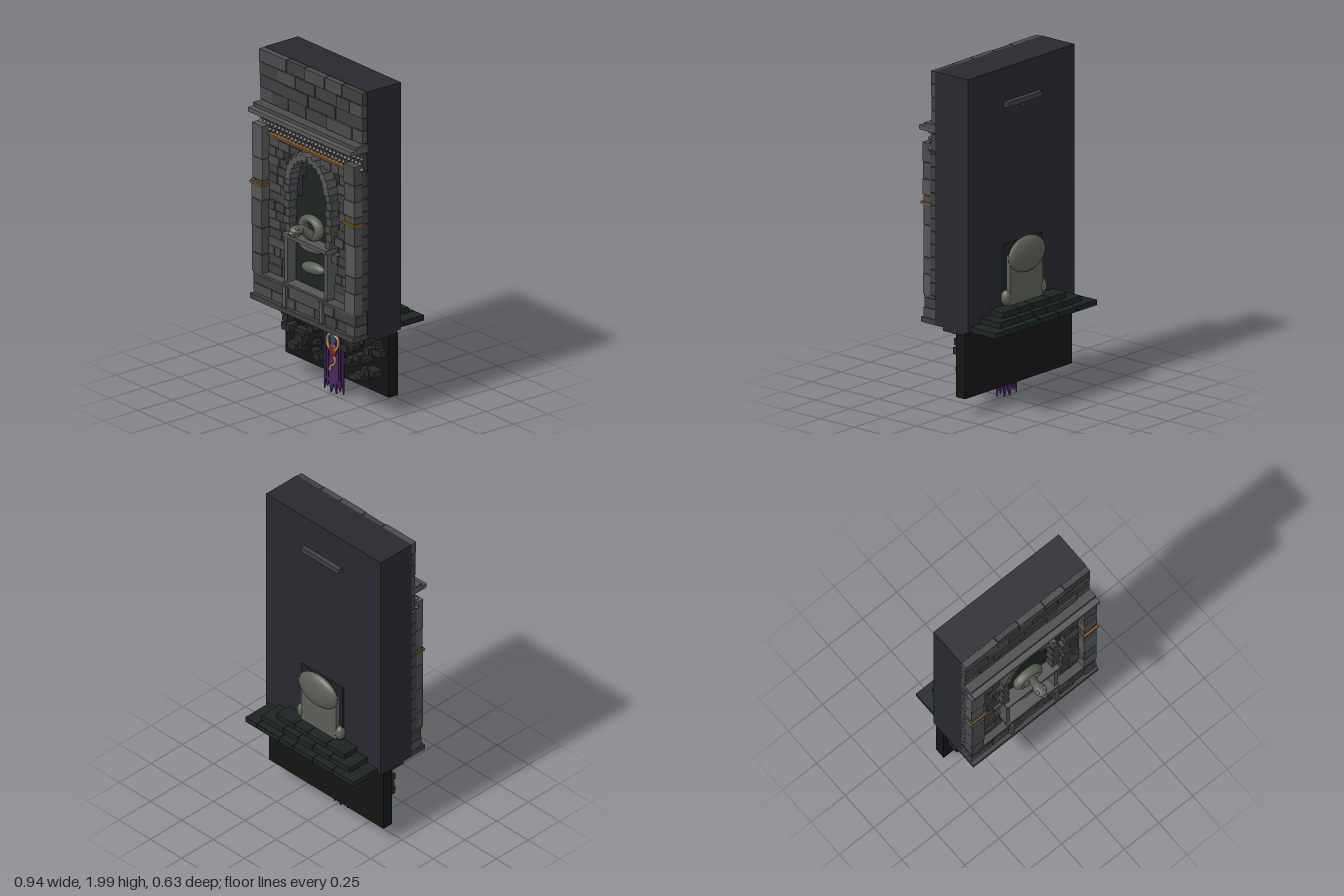
import * as THREE from 'three';

const mat = (c, o = {}) => new THREE.MeshStandardMaterial({ color: c, ...o });
const M = {
  body: mat(0x29282f), stone: mat(0x4a4a4a), stoneDark: mat(0x3e3f40), trim: mat(0x555555),
  lower: mat(0x131513), lowerStone: mat(0x272928), roof: mat(0x1c2421), niche: mat(0x1d2422),
  serpent: mat(0x5c5d55), gold: mat(0x76552a), purple: mat(0x4a2760, { side: THREE.DoubleSide }),
  fold: mat(0x35194a), blue: mat(0x2c4770), red: mat(0x7a2626), yellow: mat(0xb08a48), eye: mat(0x5fae3a),
};

let seed = 7;
const rnd = () => (seed = (seed * 16807) % 2147483647) / 2147483647;
const range = (a, b) => a + (b - a) * rnd();

export function createModel() {
  const root = new THREE.Group();
  const group = (name) => {
    const g = new THREE.Group();
    g.name = name;
    root.add(g);
    return g;
  };
  const add = (parent, name, geo, m) => {
    const mesh = new THREE.Mesh(geo, m);
    mesh.name = name;
    parent.add(mesh);
    return mesh;
  };
  // box given by its limits
  const box = (parent, name, x0, x1, y0, y1, z0, z1, m) => {
    const b = add(parent, name, new THREE.BoxGeometry(x1 - x0, y1 - y0, z1 - z0), m);
    b.position.set((x0 + x1) / 2, (y0 + y1) / 2, (z0 + z1) / 2);
    return b;
  };
  const ball = (parent, name, rx, ry, rz, x, y, z, m) => {
    const b = add(parent, name, new THREE.SphereGeometry(1, 20, 14), m);
    b.scale.set(rx, ry, rz);
    b.position.set(x, y, z);
    return b;
  };
  const tube = (parent, name, pts, r, m) =>
    add(parent, name, new THREE.TubeGeometry(
      new THREE.CatmullRomCurve3(pts.map((p) => new THREE.Vector3(...p))), 28, r, 8), m);
  // one course of bricks of uneven length and depth
  const course = (parent, x0, x1, y0, y1, z0, z1, wMin, wMax) => {
    let x = x0;
    while (x < x1 - 0.01) {
      let e = x + range(wMin, wMax);
      if (x1 - e < wMin * 0.6) e = x1;
      box(parent, 'brick', x + 0.002, e - 0.002, y0 + 0.002, y1 - 0.002, z0, z1 - range(0, 0.012),
        rnd() < 0.5 ? M.stone : M.stoneDark);
      x = e;
    }
  };

  // main wall block and the lower wall
  box(root, 'wallBlock', -0.457, 0.457, 0.51, 2, -0.127, 0.117, M.body);
  box(root, 'lowerWall', -0.457, 0.457, 0.12, 0.495, -0.105, -0.038, M.lower);
  const corbels = group('corbels');
  for (let i = 0; i < 8; i++) {
    const x = -0.45 + i * 0.115;
    box(corbels, 'corbel', x, x + 0.1, 0.488, 0.512, -0.1, 0.06, M.lowerStone);
  }

  // upper masonry
  const upper = group('upperMasonry');
  for (let i = 0; i < 4; i++)
    course(upper, -0.456, 0.456, 1.69 + i * 0.0775, 1.69 + (i + 1) * 0.0775, 0.11, 0.157, 0.11, 0.25);

  // cornice with gold strips and a studded frieze
  const cornice = group('cornice');
  box(cornice, 'corniceTop', -0.457, 0.457, 1.655, 1.685, 0.11, 0.2, M.stone);
  box(cornice, 'corniceLip', -0.457, 0.457, 1.638, 1.664, 0.11, 0.236, M.trim);
  box(cornice, 'goldStrip', -0.44, 0.44, 1.622, 1.632, 0.11, 0.18, M.gold);
  box(cornice, 'friezeBack', -0.455, 0.455, 1.53, 1.63, 0.11, 0.148, M.stoneDark);
  box(cornice, 'goldStrip', -0.36, 0.36, 1.508, 1.52, 0.11, 0.172, M.gold);
  const stud = new THREE.OctahedronGeometry(0.016);
  for (let r = 0; r < 3; r++)
    for (let i = 0; i < 29 - (r % 2); i++) {
      const s = add(cornice, 'stud', stud, M.trim);
      s.position.set(-0.455 + (i + (r % 2) / 2) * 0.0325, 1.54 + r * 0.031, 0.157);
    }

  // side pilasters and the courses behind them
  for (const s of [-1, 1]) {
    const side = group(s < 0 ? 'rightPilaster' : 'leftPilaster');
    const span = (a, b) => (s < 0 ? [-b, -a] : [a, b]);
    const back = span(0.35, 0.456);
    for (let y = 0.68; y < 1.5; y += 0.0755)
      box(side, 'backing', ...back, y + 0.002, y + 0.073, 0.11, 0.156, M.stoneDark);
    let y = 0.675;
    while (y < 1.57) {
      let top = y + range(0.09, 0.2);
      if (1.57 - top < 0.08) top = 1.57;
      box(side, 'pilasterBlock', ...span(0.362 + range(0, 0.005), 0.455), y + 0.002, top - 0.002,
        0.15, 0.213 - range(0, 0.008), rnd() < 0.5 ? M.trim : M.stone);
      y = top;
    }
    box(side, 'goldBand', ...span(0.357, 0.461), 1.206, 1.22, 0.15, 0.221, M.gold);

    // ragged brickwork beside the niche
    const bricks = group(s < 0 ? 'rightBrickwork' : 'leftBrickwork');
    for (let i = 0; i < 15; i++) {
      const y0 = 0.685 + i * 0.0545;
      const inner = i > 13 ? 0.09 : range(0.195, 0.265);
      course(bricks, ...span(inner, 0.362), y0, y0 + 0.0545, 0.11, 0.168, 0.05, 0.12);
    }
    // niche quoins, then the stepped arch stones
    for (let i = 0; i < 7; i++) {
      const y0 = 0.985 + i * 0.047;
      box(bricks, 'quoin', ...span(0.155 + (i % 2) * 0.008, 0.2 + (i % 2) * 0.012), y0, y0 + 0.043, 0.11, 0.178, M.stone);
    }
    for (let i = 0; i < 6; i++) {
      const a = 0.15 + i * 0.25;
      const stone = add(bricks, 'archStone', new THREE.BoxGeometry(0.045, 0.043, 0.075), M.trim);
      stone.position.set(s * 0.172 * Math.cos(a), 1.3 + 0.175 * Math.sin(a), 0.147);
      stone.rotation.z = s * a * 0.35;
    }
    // lower niche post and plinth post
    box(bricks, 'nichePost', ...span(0.163, 0.188), 0.68, 0.965, 0.11, 0.19, M.trim);
    box(bricks, 'plinthPost', ...span(0.15, 0.175), 0.54, 0.665, 0.11, 0.215, M.trim);
  }

  // plinth under the niche
  const plinth = group('plinth');
  for (let i = 0; i < 2; i++)
    course(plinth, -0.456, 0.456, 0.54 + i * 0.06, 0.6 + i * 0.06, 0.11, 0.208, 0.08, 0.2);
  box(plinth, 'plinthCap', -0.45, 0.45, 0.66, 0.675, 0.11, 0.205, M.stone);
  box(plinth, 'ledge', -0.457, 0.457, 0.51, 0.54, 0.11, 0.222, M.stoneDark);

  // dark niche panel with a stepped, pointed top
  const half = [[0.165, 0.675], [0.165, 1.2], [0.11, 1.2], [0.11, 1.33], [0.075, 1.33], [0.075, 1.39], [0, 1.45]];
  const outline = [...half, ...half.slice(0, -1).reverse().map(([x, y]) => [-x, y])];
  const niche = group('niche');
  add(niche, 'nichePanel', new THREE.ExtrudeGeometry(
    new THREE.Shape(outline.map((p) => new THREE.Vector2(...p))), { depth: 0.014, bevelEnabled: false }), M.niche)
    .position.z = 0.112;
  box(niche, 'shelf', -0.192, 0.192, 0.96, 0.982, 0.11, 0.205, M.trim);
  box(niche, 'sill', -0.19, 0.19, 0.67, 0.685, 0.11, 0.2, M.trim);
  for (const s of [-1, 1]) ball(niche, 'eye', 0.005, 0.004, 0.004, s * 0.014, 1.25, 0.128, M.eye);

  // serpent: coils in the niche and the head reaching out
  const serpent = group('serpent');
  ball(serpent, 'lowerCoil', 0.1, 0.036, 0.035, 0, 0.805, 0.135, M.serpent).rotation.z = 0.1;
  ball(serpent, 'middleCoil', 0.11, 0.034, 0.035, -0.01, 0.93, 0.135, M.serpent).rotation.z = 0.05;
  const coil = add(serpent, 'upperCoil', new THREE.TorusGeometry(0.07, 0.03, 12, 32), M.serpent);
  coil.scale.y = 0.76;
  coil.position.set(0, 1.053, 0.15);
  tube(serpent, 'neck', [[0.03, 1.0, 0.15], [0.01, 1.04, 0.19], [0, 1.065, 0.23], [0, 1.06, 0.27]], 0.026, M.serpent);
  ball(serpent, 'head', 0.037, 0.026, 0.045, 0, 1.065, 0.258, M.serpent);
  ball(serpent, 'snout', 0.026, 0.017, 0.04, 0, 1.055, 0.274, M.serpent);
  ball(serpent, 'jaw', 0.024, 0.01, 0.035, 0, 1.035, 0.265, M.serpent);
  for (const s of [-1, 1]) ball(serpent, 'brow', 0.01, 0.008, 0.014, s * 0.024, 1.082, 0.268, M.serpent);

  // loose stones set in the lower wall
  const loose = group('looseStones');
  for (let i = 0; i < 46; i++) {
    const w = range(0.03, 0.1), h = range(0.025, 0.045), s = i % 2 ? 1 : -1;
    const stone = add(loose, 'looseStone', new THREE.BoxGeometry(w, h, 0.07), M.lowerStone);
    stone.position.set(s * range(0.13, 0.4), range(0.17, 0.47), range(-0.045, -0.005));
    stone.rotation.set(range(-0.1, 0.1), range(-0.1, 0.1), range(-0.12, 0.12));
  }

  // torn banner with a painted figure
  const banner = group('banner');
  const hem = [[0.085, 0.03], [0.068, 0.1], [0.052, 0.04], [0.03, 0.09], [0.02, 0.015], [0, 0.075],
    [-0.028, 0.01], [-0.042, 0.08], [-0.06, 0.04], [-0.066, 0.1], [-0.085, 0.02]];
  const cloth = new THREE.Shape([[-0.085, 0.5], ...hem.slice().reverse(), [0.085, 0.5]].map((p) => new THREE.Vector2(...p)));
  add(banner, 'cloth', new THREE.ExtrudeGeometry(cloth, { depth: 0.01, bevelEnabled: false }), M.purple).position.z = -0.022;
  for (const x of [-0.065, -0.045, 0.045, 0.065])
    box(banner, 'fold', x - 0.003, x + 0.003, 0.1, 0.49, -0.014, -0.008, M.fold);
  const rod = add(banner, 'rod', new THREE.CylinderGeometry(0.008, 0.008, 0.21, 10), M.gold);
  rod.rotation.z = Math.PI / 2;
  rod.position.set(0, 0.502, -0.015);
  ball(banner, 'torso', 0.026, 0.07, 0.012, 0, 0.355, -0.008, M.blue);
  ball(banner, 'figureHead', 0.014, 0.018, 0.012, 0, 0.43, -0.008, M.blue);
  ball(banner, 'skirt', 0.034, 0.042, 0.014, 0, 0.28, -0.006, M.red);
  for (const s of [-1, 1])
    tube(banner, 'arm', [[s * 0.015, 0.37, -0.006], [s * 0.042, 0.355, -0.006], [s * 0.047, 0.315, -0.004], [s * 0.025, 0.28, 0]], 0.008, M.yellow);
  tube(banner, 'tail', [[0.005, 0.25, -0.006], [0.02, 0.215, -0.006], [0.005, 0.19, -0.006], [-0.02, 0.175, -0.006], [-0.025, 0.145, -0.006]], 0.008, M.yellow);

  // stepped slabs at the back
  const steps = group('backSteps');
  const rows = [
    [[-0.432, -0.26, -0.104, 0.056, 0.162, 0.343, 0.434], 0.51, 0.542, -0.315],
    [[-0.352, -0.193, -0.055, 0.06, 0.176, 0.35], 0.542, 0.575, -0.27],
    [[-0.272, -0.125, 0.025, 0.13, 0.272], 0.575, 0.608, -0.23],
  ];
  for (const [xs, y0, y1, z] of rows)
    for (let i = 0; i + 1 < xs.length; i++)
      box(steps, 'slab', xs[i] + 0.002, xs[i + 1] - 0.002, y0, y1, z, -0.11, M.roof);

  // upright coil panel and the bracket on the back face
  const rear = group('rearCoils');
  box(rear, 'rearPanel', -0.165, 0.165, 0.6, 0.965, -0.14, -0.12, M.niche);
  box(rear, 'rearBody', -0.14, 0.14, 0.6, 0.9, -0.165, -0.12, M.serpent);
  ball(rear, 'rearCoil', 0.152, 0.105, 0.04, 0, 0.885, -0.168, M.serpent);
  for (const s of [-1, 1]) ball(rear, 'rearLoop', 0.03, 0.045, 0.03, s * 0.152, 0.655, -0.145, M.serpent);
  ball(rear, 'underCoil', 0.1, 0.018, 0.04, 0, 0.51, -0.15, M.serpent);
  box(root, 'backBracket', -0.15, 0.15, 1.772, 1.802, -0.157, -0.12, M.stoneDark);
  const wedge = new THREE.Shape([[-0.05, 1.775], [0, 1.74], [0.05, 1.775]].map((p) => new THREE.Vector2(...p)));
  add(root, 'bracketWedge', new THREE.ExtrudeGeometry(wedge, { depth: 0.015, bevelEnabled: false }), M.stoneDark)
    .position.z = -0.138;

  return root;
}
